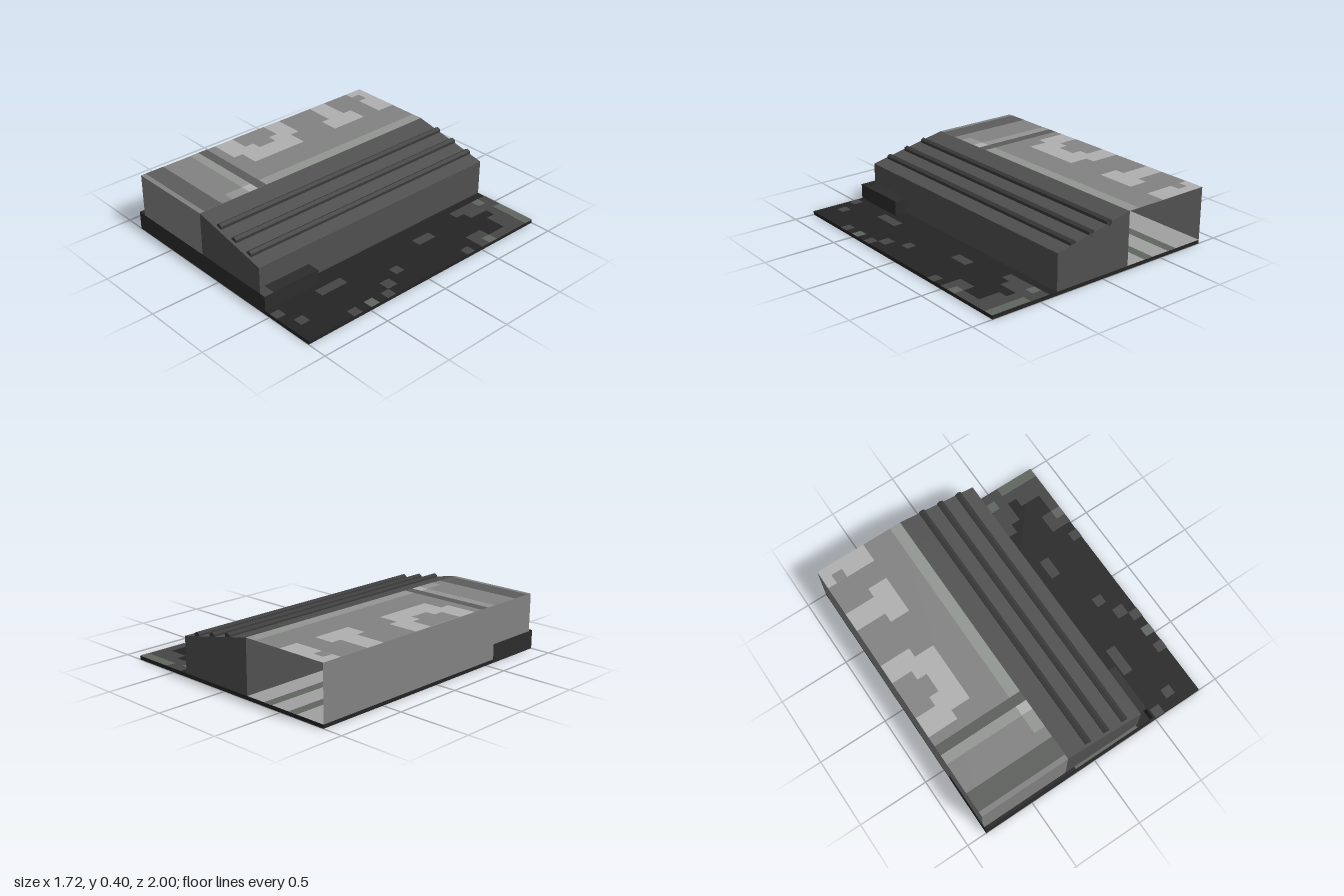
import * as THREE from 'three';
import { mergeGeometries } from 'three/addons/utils/BufferGeometryUtils.js';

const W = 0.857, FLOOR = 0.025, EAVE = 0.395, RIDGE = -0.21, SIDE = 0.37, LOW = 0.275, FRONT = 0.965;

function mat(color, open = false) {
  return new THREE.MeshStandardMaterial({ color, flatShading: true, side: open ? THREE.DoubleSide : THREE.FrontSide });
}

function add(parent, name, geometry, material) {
  const mesh = new THREE.Mesh(geometry, material);
  mesh.name = name;
  parent.add(mesh);
  return mesh;
}

// Flat four-cornered sheet
function sheet(a, b, c, d) {
  const g = new THREE.BufferGeometry();
  g.setAttribute('position', new THREE.Float32BufferAttribute([a, b, c, a, c, d].flat(), 3));
  g.computeVertexNormals();
  return g;
}

// Upright or level sheets lying in one axis plane
const levelSheet = (y, x0, x1, z0, z1) => sheet([x0, y, z1], [x1, y, z1], [x1, y, z0], [x0, y, z0]);
const sideSheet = (x, y0, y1, z0, z1) => sheet([x, y0, z1], [x, y0, z0], [x, y1, z0], [x, y1, z1]);
const faceSheet = (z, x0, x1, y0, y1) => sheet([x0, y0, z], [x1, y0, z], [x1, y1, z], [x0, y1, z]);

// Coloured square patches painted on a level surface: [x0, x1, z0, z1]
function patches(parent, name, y, color, rects) {
  add(parent, name, mergeGeometries(rects.map(r => levelSheet(y, ...r))), mat(color));
}

export function createModel() {
  const model = new THREE.Group();

  // Ground slab
  const slab = new THREE.BoxGeometry(2 * W, FLOOR, 2).translate(0, FLOOR / 2, 0);
  add(model, 'groundSlab', slab, mat(0x242424));
  patches(model, 'hangarFloor', FLOOR + 0.001, 0xa0a0a0, [[-W, RIDGE, -1, 0.57]]);
  patches(model, 'floorStripes', FLOOR + 0.002, 0x606560, [
    [-0.64, -0.57, -1, 0.57], [-0.43, -0.36, -1, 0.57],
  ]);
  patches(model, 'frontGapPatches', FLOOR + 0.001, 0x606560, [[-0.14, 0.36, 0.93, 1]]);
  patches(model, 'groundPatches', FLOOR + 0.001, 0x464646, [
    [0.43, 0.57, -1, -0.93], [0.43, 0.5, -0.86, -0.64], [0.5, 0.57, -0.93, -0.71],
    [0.57, 0.86, -0.93, -0.86], [0.64, 0.86, -0.86, -0.79], [0.79, 0.86, -0.79, -0.5],
    [0.71, 0.79, -0.64, -0.5], [0.5, 0.57, -0.36, -0.21], [0.79, 0.86, -0.43, -0.36],
    [0.64, 0.71, 0.07, 0.14], [0.71, 0.79, 0.21, 0.29], [0.79, 0.86, 0.29, 0.36],
    [0.5, 0.57, 0.43, 0.64], [0.79, 0.86, 0.57, 0.64], [0.64, 0.71, 0.86, 0.93],
    [0.5, 0.57, 0.93, 1],
  ]);
  patches(model, 'mossPatches', FLOOR + 0.002, 0x606560, [
    [0.57, 0.86, -1, -0.93], [0.43, 0.5, -0.93, -0.86], [0.79, 0.86, -0.64, -0.57], [0.79, 0.86, 0.43, 0.5],
  ]);

  // Hangar shell, open at the back
  const hangar = new THREE.Group();
  hangar.name = 'hangar';
  model.add(hangar);
  const shell = mat(0x828282, true);
  add(hangar, 'outerWall', sideSheet(-W, FLOOR, EAVE, -1, FRONT), shell);
  add(hangar, 'flatRoof', levelSheet(EAVE, -W, RIDGE, -1, FRONT), shell);
  add(hangar, 'frontWall', faceSheet(FRONT, -W, RIDGE, FLOOR, EAVE), shell);

  // Painted squares and bands on the flat roof
  patches(hangar, 'roofLightPatches', EAVE + 0.001, 0xb0b0b0, [
    [-W, -0.5, -1, -0.93], [-W, -0.64, -0.93, -0.86], [-0.64, -0.5, -0.93, -0.86],
    [-W, -0.64, -0.64, -0.5], [-0.64, -0.5, -0.71, -0.43],
    [-W, -0.64, -0.21, 0.36], [-0.64, -0.5, -0.14, 0.29], [-0.29, RIDGE, 0.5, 0.57],
  ]);
  patches(hangar, 'roofMidPatches', EAVE + 0.002, 0x858585, [
    [-0.79, -0.71, -0.93, -0.86], [-W, -0.71, -0.07, 0.21], [-0.71, -0.64, 0, 0.14],
  ]);
  patches(hangar, 'roofPaleBands', EAVE + 0.001, 0x929692, [
    [-0.29, RIDGE, -1, 0.43], [-W, -0.29, 0.5, 0.57], [-0.29, RIDGE, 0.57, 0.71],
  ]);
  patches(hangar, 'roofDarkBands', EAVE + 0.001, 0x5b5d5b, [
    [-W, RIDGE, 0.43, 0.5], [-W, RIDGE, 0.79, 0.93],
  ]);

  // Closed side annex with a sloping roof
  const section = new THREE.Shape([
    [RIDGE, FLOOR], [SIDE, FLOOR], [SIDE, LOW], [RIDGE, EAVE],
  ].map(p => new THREE.Vector2(...p)));
  const annex = new THREE.ExtrudeGeometry(section, { depth: FRONT + 1, bevelEnabled: false }).translate(0, 0, -1);
  add(model, 'sideAnnex', annex, mat(0x505050));

  // Six-sided pipes along the slope
  for (const x of [-0.04, 0.105, 0.25]) {
    const y = EAVE - (EAVE - LOW) * (x - RIDGE) / (SIDE - RIDGE) + 0.003;
    const pipe = new THREE.CylinderGeometry(0.025, 0.025, 1.945, 6).rotateX(Math.PI / 2);
    add(model, 'roofPipe', pipe, mat(0x3a3a3a)).position.set(x, y, -0.0275);
  }

  // Low front skirt, with a narrow open slot behind its front face
  const skirt = new THREE.Group();
  skirt.name = 'frontSkirt';
  model.add(skirt);
  const dark = mat(0x2c2c2c, true);
  const x0 = -W - 0.001, x1 = 0.46, top = 0.13, back = 0.575;
  add(skirt, 'skirtFront', faceSheet(1.001, x0, x1, 0, top), dark);
  add(skirt, 'skirtBack', faceSheet(back, x0, x1, FLOOR, top), dark);
  add(skirt, 'skirtTop', levelSheet(top, x0, x1, back, 0.93), dark);
  add(skirt, 'skirtRightEnd', sideSheet(x0, 0, top, back, 1.001), dark);
  add(skirt, 'skirtLeftEnd', sideSheet(x1, FLOOR, top, back, 1.001), dark);

  return model;
}
